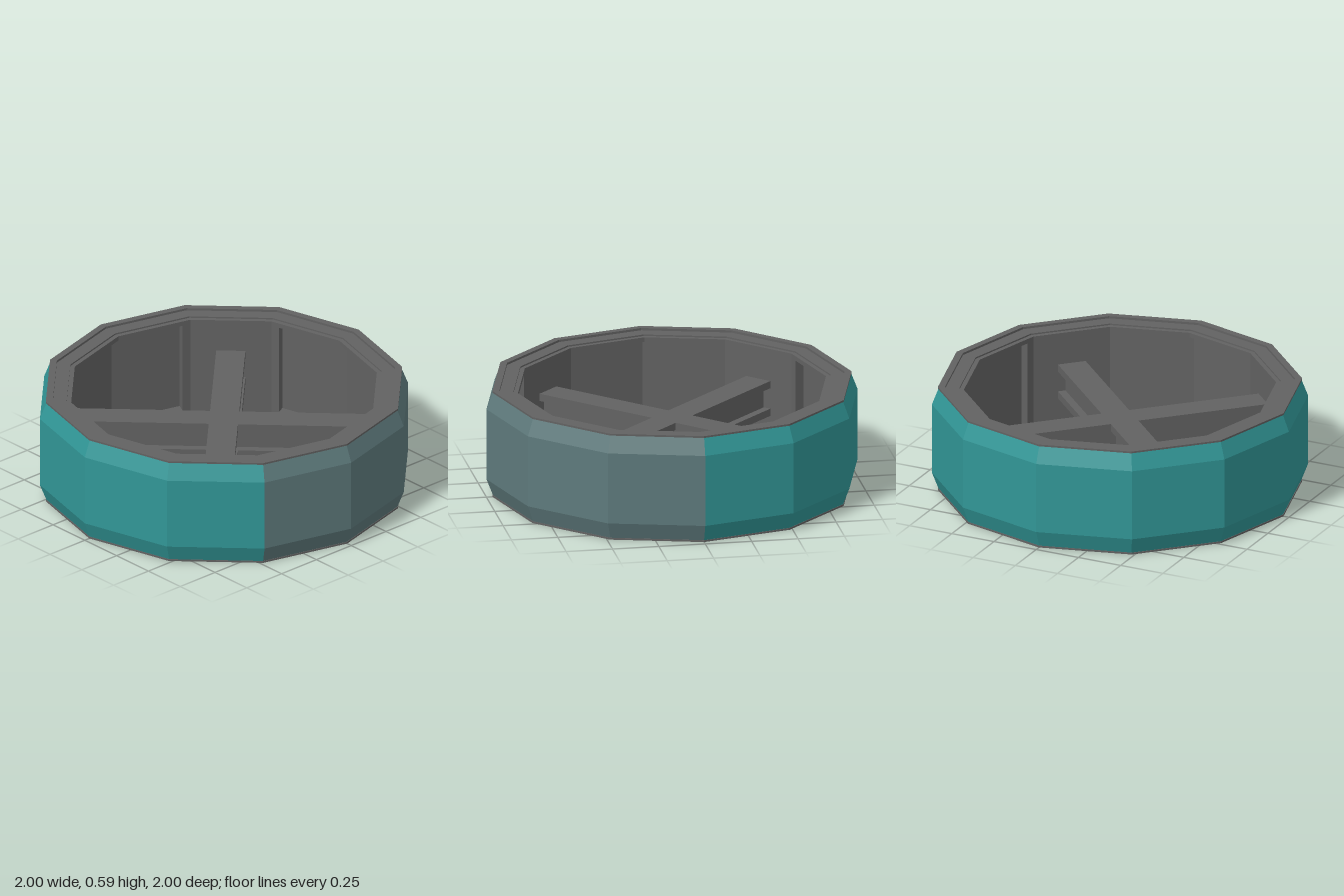
import * as THREE from 'three';

const HEIGHT = 0.59, SIDES = 12, STEP = Math.PI * 2 / SIDES;

const teal = new THREE.MeshStandardMaterial({ color: 0x319696 });
teal.name = 'teal';
const greyTeal = new THREE.MeshStandardMaterial({ color: 0x5e7a7c });
greyTeal.name = 'greyTeal';
const darkGrey = new THREE.MeshStandardMaterial({ color: 0x626262 });
darkGrey.name = 'darkGrey';

// Faceted lathe; angles are counted in twelfths from +z towards +x
function facetedRing(profile, first = 0, count = SIDES) {
  const points = profile.map(([r, y]) => new THREE.Vector2(r, y));
  const geometry = new THREE.LatheGeometry(points, count, first * STEP, count * STEP).toNonIndexed();
  geometry.computeVertexNormals();
  return geometry;
}

function add(parent, name, geometry, material) {
  const mesh = new THREE.Mesh(geometry, material);
  mesh.name = name;
  parent.add(mesh);
  return mesh;
}

export function createModel() {
  const model = new THREE.Group();
  model.name = 'spokedRing';

  // Bevelled outer shell, with four of its twelve faces in the greyer colour
  const shell = [[0.93, 0.01], [0.965, 0.01], [1, 0.1], [1, 0.49], [0.965, 0.58], [0.93, 0.58]];
  add(model, 'outerShell', facetedRing(shell, 3, 8), teal);
  add(model, 'outerShellFront', facetedRing(shell, -1, 4), greyTeal);

  // Stepped rims, mirrored top and bottom
  const rim = [
    [0.94, 0.58], [0.968, 0.58], [0.968, 0.59], [0.93, 0.59], [0.93, 0.578],
    [0.855, 0.578], [0.855, 0.57], [0.83, 0.57], [0.83, 0.545], [0.9, 0.545],
  ];
  add(model, 'topRim', facetedRing(rim), darkGrey);
  add(model, 'bottomRim', facetedRing(rim.map(([r, y]) => [r, HEIGHT - y]).reverse()), darkGrey);

  // Recessed inner wall
  add(model, 'innerWall', facetedRing([[0.885, 0.56], [0.885, 0.03]]), darkGrey);

  // Thick posts on the diagonals, wrapping slightly past their corners
  const corner = (r, i) => new THREE.Vector2(r * Math.sin(i * STEP), -r * Math.cos(i * STEP));
  const past = (r, i, j) => corner(r, i).lerp(corner(r, j), 0.11);
  for (let k = 0; k < 4; k++) {
    const a = 1 + k * 3, b = a + 1;
    const footprint = new THREE.Shape([
      past(0.83, a, a - 1), corner(0.83, a), corner(0.83, b), past(0.83, b, b + 1),
      past(0.9, b, b + 1), corner(0.9, b), corner(0.9, a), past(0.9, a, a - 1),
    ]);
    const post = new THREE.ExtrudeGeometry(footprint, { depth: 0.5, bevelEnabled: false });
    post.rotateX(-Math.PI / 2);
    post.translate(0, 0.045, 0);
    add(model, 'wallPost', post, darkGrey);
  }

  // Crossed I-beams
  for (const angle of [Math.PI / 4, -Math.PI / 4]) {
    const beam = new THREE.Group();
    beam.name = 'crossBeam';
    beam.position.y = HEIGHT / 2;
    beam.rotation.y = angle;
    for (const side of [1, -1]) {
      add(beam, 'flange', new THREE.BoxGeometry(1.61, 0.04, 0.155), darkGrey).position.y = side * 0.077;
    }
    add(beam, 'web', new THREE.BoxGeometry(1.61, 0.12, 0.07), darkGrey);
    model.add(beam);
  }

  return model;
}
